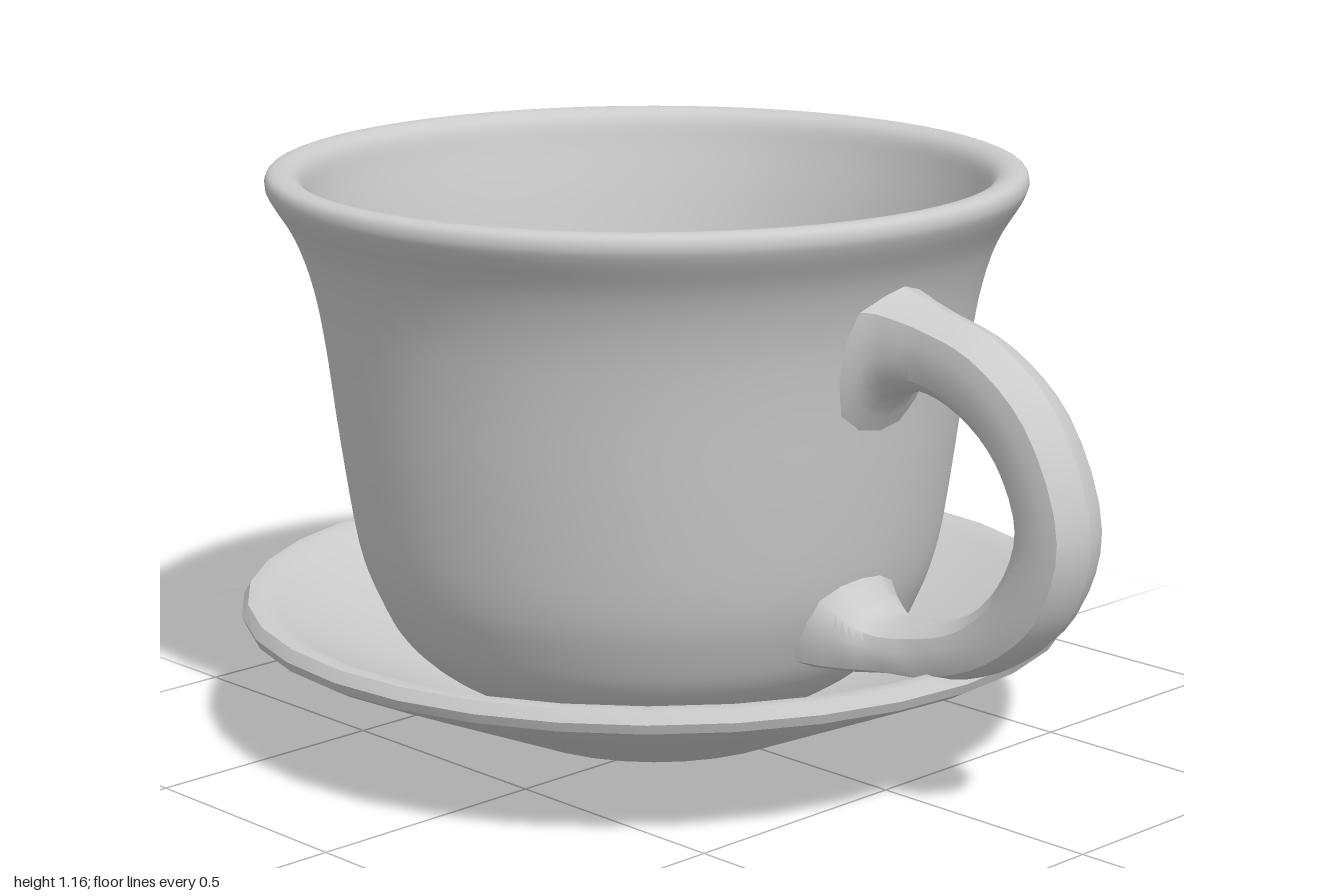
import * as THREE from 'three';
import { toCreasedNormals } from 'three/addons/utils/BufferGeometryUtils.js';

const material = new THREE.MeshStandardMaterial({ color: 0xcccccc });
const CUP_Z = -0.17;
const SAUCER_Z = -0.147;
const v2 = ([x, y]) => new THREE.Vector2(x, y);

function part(name, geometry, z = 0) {
  const mesh = new THREE.Mesh(geometry, material);
  mesh.name = name;
  mesh.position.z = z;
  return mesh;
}

// Handle: cross-sections swept from the upper wall round to the lower wall.
// Each station: outer edge (z, y), inner edge (z, y), half width.
function handleGeometry() {
  const stations = [
    [0.50, 1.03, 0.46, 0.70, 0.12],
    [0.54, 1.01, 0.52, 0.79, 0.092],
    [0.62, 0.985, 0.60, 0.82, 0.074],
    [0.76, 0.945, 0.70, 0.79, 0.07],
    [0.91, 0.83, 0.79, 0.715, 0.07],
    [1.00, 0.61, 0.838, 0.60, 0.07],
    [0.95, 0.44, 0.80, 0.49, 0.07],
    [0.82, 0.325, 0.71, 0.405, 0.07],
    [0.67, 0.265, 0.59, 0.367, 0.07],
    [0.54, 0.25, 0.49, 0.36, 0.08],
    [0.44, 0.23, 0.445, 0.40, 0.10],
    [0.36, 0.22, 0.40, 0.46, 0.13],
  ];
  const curve = (f) => new THREE.CatmullRomCurve3(stations.map(f), false, 'centripetal');
  const outer = curve((s) => new THREE.Vector3(0, s[1], s[0]));
  const inner = curve((s) => new THREE.Vector3(0, s[3], s[2]));
  const widths = stations.map((s) => s[4]);

  // Section: across (-1..1) and depth (0 = inner edge, 1 = ridged outer edge)
  const section = [[0, 1], [0.5, 0.93], [0.92, 0.83], [1, 0.65], [1, 0.42], [0.88, 0.2], [0.5, 0.05], [0, 0]];
  const loop = [...section, ...section.slice(1, -1).reverse().map(([a, d]) => [-a, d])];
  const steps = 44, n = loop.length;
  const positions = [], index = [];
  for (let i = 0; i <= steps; i++) {
    const t = i / steps;
    const o = outer.getPoint(t), p = inner.getPoint(t);
    const f = t * (widths.length - 1), k = Math.min(Math.floor(f), widths.length - 2);
    const w = THREE.MathUtils.lerp(widths[k], widths[k + 1], f - k);
    for (const [a, d] of loop) {
      const q = p.clone().lerp(o, d);
      positions.push(a * w, q.y, q.z);
    }
  }
  for (let i = 0; i < steps; i++) {
    for (let j = 0; j < n; j++) {
      const a = i * n + j, b = i * n + (j + 1) % n;
      index.push(a, a + n, b, b, a + n, b + n);
    }
  }
  const geometry = new THREE.BufferGeometry();
  geometry.setAttribute('position', new THREE.Float32BufferAttribute(positions, 3));
  geometry.setIndex(index);
  return toCreasedNormals(geometry, 0.6);
}

export function createModel() {
  const group = new THREE.Group();
  group.name = 'cupAndSaucer';

  // Saucer: a shallow cone with a thin rim
  const saucerProfile = [
    [0, 0], [0.29, 0], [0.32, 0.008], [0.815, 0.228], [0.845, 0.245], [0.853, 0.265],
    [0.84, 0.288], [0.815, 0.29], [0.78, 0.272], [0.3, 0.06], [0, 0.05],
  ].map(v2);
  group.add(part('saucer', toCreasedNormals(new THREE.LatheGeometry(saucerProfile, 32), 0.6), SAUCER_Z));

  // Cup: rounded base, flared wall, rolled lip and inner wall
  const cupProfile = new THREE.SplineCurve([
    [0, 0.07], [0.3, 0.08], [0.42, 0.125], [0.51, 0.2], [0.56, 0.29], [0.597, 0.4], [0.628, 0.6],
    [0.653, 0.8], [0.676, 0.93], [0.71, 1.03], [0.755, 1.105], [0.766, 1.135], [0.757, 1.157],
    [0.725, 1.16], [0.695, 1.14], [0.677, 1.08], [0.647, 0.97], [0.61, 0.8],
  ].map(v2)).getPoints(68);
  cupProfile[0].x = 0;
  group.add(part('cup', new THREE.LatheGeometry(cupProfile, 64), CUP_Z));

  // Flat surface of the drink
  const drink = part('drink', new THREE.CircleGeometry(0.612, 64), CUP_Z);
  drink.rotation.x = -Math.PI / 2;
  drink.position.y = 0.81;
  group.add(drink);

  group.add(part('handle', handleGeometry()));
  return group;
}
